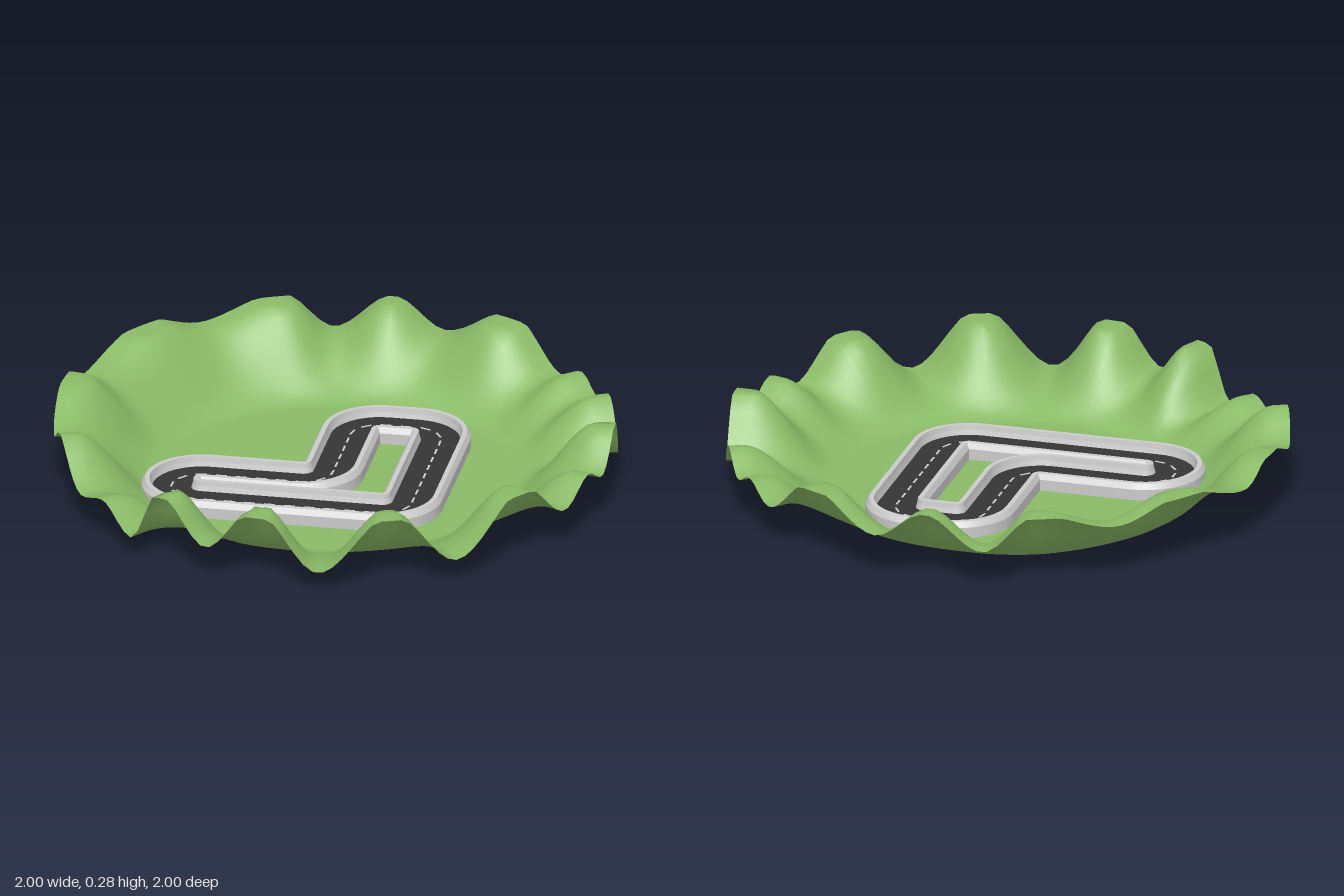
import * as THREE from 'three';

const mat = (color) => new THREE.MeshStandardMaterial({ color, side: THREE.DoubleSide });

// Rim height by angle in degrees (0 = +x, 90 = +z)
const RIM = [
  [-13, 0.09], [-2, 0.29], [8.6, 0.16], [16, 0.22], [25, 0.14], [38, 0.3], [54, 0.09], [68, 0.3],
  [83, 0.08], [96, 0.31], [107, 0.13], [118, 0.3], [126, 0.08], [135, 0.17], [144, 0.13], [157, 0.27],
  [167, 0.19], [186, 0.29], [196, 0.21], [216, 0.29], [231, 0.22], [248, 0.29], [259, 0.15],
  [271, 0.28], [282, 0.17], [298, 0.3], [312, 0.14], [320, 0.2], [327, 0.15], [335, 0.22], [347, 0.09],
];
const MEAN_RIM = 0.2;

function rimHeight(deg) {
  const a = deg > 347 ? deg - 360 : deg;
  const i = RIM.findIndex((p, k) => k > 0 && a <= p[0]);
  const [a0, h0] = RIM[i - 1], [a1, h1] = RIM[i];
  const t = THREE.MathUtils.smoothstep(a, a0, a1);
  return h0 + (h1 - h0) * t;
}

// Bowl-shaped ground: nearly flat floor, a steep bank, and folds that deepen towards the rim
function terrainGeometry(rings = 40, sectors = 180) {
  const { smoothstep } = THREE.MathUtils;
  const pos = [0, 0.004, 0], idx = [];
  for (let r = 1; r <= rings; r++) {
    const rad = r / rings;
    for (let s = 0; s < sectors; s++) {
      const a = (s / sectors) * Math.PI * 2;
      const x = rad * Math.cos(a), z = rad * Math.sin(a);
      const floor = 0.004 + 0.004 * Math.sin(9 * x + 1) * Math.cos(10 * z) + 0.003 * Math.sin(6 * z - 5 * x);
      const bank = MEAN_RIM * smoothstep(rad, 0.62, 0.95);
      const fold = (rimHeight((s * 360) / sectors) - MEAN_RIM) * smoothstep(rad, 0.66, 0.95);
      pos.push(x, Math.min(0.275, Math.max(0, floor * (1 - rad * rad) + bank + fold)), z);
      const n = (s + 1) % sectors, o = 1 + (r - 1) * sectors, p = o - sectors;
      if (r === 1) idx.push(0, o + n, o + s);
      else idx.push(p + s, p + n, o + s, p + n, o + n, o + s);
    }
  }
  const g = new THREE.BufferGeometry();
  g.setAttribute('position', new THREE.Float32BufferAttribute(pos, 3));
  g.setIndex(idx);
  g.computeVertexNormals();
  return g;
}

// Centre line of the track: corners (x, z) rounded with one radius
const R = 0.1075;
const CORNERS = [[0.315, -0.43], [0.315, 0.325], [-0.55, 0.325], [-0.55, 0.11], [-0.01, 0.11], [-0.01, -0.43]]
  .map(([x, z]) => new THREE.Vector2(x, z));

function trackSamples(steps = 10) {
  const out = [], n = CORNERS.length;
  CORNERS.forEach((c, i) => {
    const d1 = c.clone().sub(CORNERS[(i + n - 1) % n]).normalize();
    const d2 = CORNERS[(i + 1) % n].clone().sub(c).normalize();
    const centre = c.clone().addScaledVector(d1, -R).addScaledVector(d2, R);
    for (let k = 0; k <= steps; k++) {
      const t = (k / steps) * Math.PI / 2, cs = Math.cos(t), sn = Math.sin(t);
      const p = centre.clone().addScaledVector(d2, -R * cs).addScaledVector(d1, R * sn);
      const tan = d1.clone().multiplyScalar(cs).addScaledVector(d2, sn);
      out.push({ p, n: new THREE.Vector2(tan.y, -tan.x) }); // n points out of the loop
    }
  });
  return out;
}

// Sweep a cross-section of [offset, height] points round the track, sharp across, smooth along
function sweep(samples, profile) {
  const pos = [], nor = [], idx = [], m = samples.length;
  for (let j = 0; j < profile.length - 1; j++) {
    const [o0, y0] = profile[j], [o1, y1] = profile[j + 1];
    const len = Math.hypot(o1 - o0, y1 - y0), no = -(y1 - y0) / len, ny = (o1 - o0) / len;
    const base = pos.length / 3;
    samples.forEach(({ p, n }, i) => {
      for (const [o, y] of [profile[j], profile[j + 1]]) {
        pos.push(p.x + n.x * o, y, p.y + n.y * o);
        nor.push(n.x * no, ny, n.y * no);
      }
      const a = base + 2 * i, c = base + 2 * ((i + 1) % m);
      idx.push(a, c, a + 1, a + 1, c, c + 1);
    });
  }
  const g = new THREE.BufferGeometry();
  g.setAttribute('position', new THREE.Float32BufferAttribute(pos, 3));
  g.setAttribute('normal', new THREE.Float32BufferAttribute(nor, 3));
  g.setIndex(idx);
  return g;
}

export function createModel() {
  const model = new THREE.Group();
  const add = (name, geometry, material, parent = model) => {
    const mesh = new THREE.Mesh(geometry, material);
    mesh.name = name;
    parent.add(mesh);
    return mesh;
  };

  add('terrain', terrainGeometry(), mat(0x8aba66));

  // Road slab
  const samples = trackSamples();
  const track = new THREE.Group();
  track.name = 'track';
  model.add(track);
  const slab = [[-0.1, 0.006], [-0.072, 0.03], [0.072, 0.03], [0.1, 0.006], [-0.1, 0.006]];
  add('roadSurface', sweep(samples, slab), mat(0x353535), track);

  // Barriers on both sides of the road
  const wall = [[0.07, 0.03], [0.075, 0.048], [0.078, 0.066], [0.095, 0.066], [0.1075, 0.046], [0.1075, 0.006]];
  const concrete = mat(0xc4c4c4);
  add('outerBarrier', sweep(samples, wall), concrete, track);
  add('innerBarrier', sweep(samples, wall.map(([o, y]) => [-o, y]).reverse()), concrete, track);

  // Dashed centre line
  const path = new THREE.CurvePath();
  samples.forEach(({ p }, i) => {
    const q = samples[(i + 1) % samples.length].p;
    if (p.distanceTo(q) > 1e-5) path.add(new THREE.LineCurve(p, q));
  });
  const dashes = new THREE.Group();
  dashes.name = 'centreLine';
  track.add(dashes);
  const dashGeometry = new THREE.BoxGeometry(0.04, 0.002, 0.007);
  const white = mat(0xdddddd);
  const count = Math.round(path.getLength() / 0.072);
  for (let i = 0; i < count; i++) {
    const u = (i + 0.5) / count;
    const p = path.getPointAt(u), a = path.getPointAt(u - 0.002), b = path.getPointAt(u + 0.002);
    const dash = add('dash', dashGeometry, white, dashes);
    dash.position.set(p.x, 0.031, p.y);
    dash.rotation.y = -Math.atan2(b.y - a.y, b.x - a.x);
  }
  return model;
}
